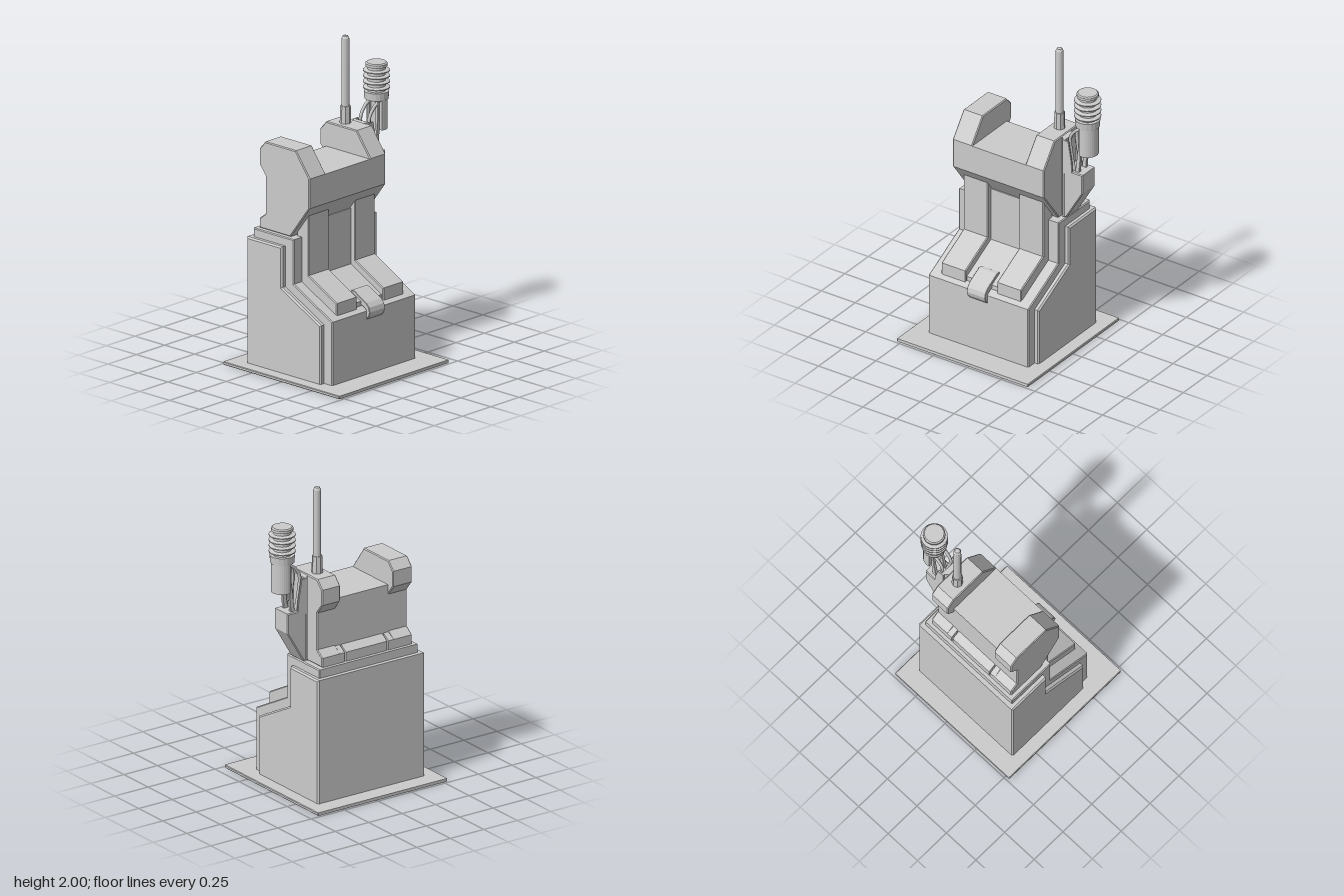
import * as THREE from 'three';

const material = new THREE.MeshStandardMaterial({ color: 0xcccccc, flatShading: true });
const smooth = new THREE.MeshStandardMaterial({ color: 0xcccccc });

export function createModel() {
  const model = new THREE.Group();

  const add = (name, geometry, x = 0, y = 0, z = 0, mat = material) => {
    const mesh = new THREE.Mesh(geometry, mat);
    mesh.name = name;
    mesh.position.set(x, y, z);
    model.add(mesh);
    return mesh;
  };

  // Bevelled extrusion of a flat profile, from 0 to length along z
  const slab = (points, length, bevel = 0.006) => {
    const shape = new THREE.Shape(points.map(p => new THREE.Vector2(...p)));
    const g = new THREE.ExtrudeGeometry(shape, {
      depth: length - 2 * bevel, bevelEnabled: bevel > 0, bevelThickness: bevel,
      bevelSize: bevel, bevelOffset: -bevel, bevelSegments: 1
    });
    return g.translate(0, 0, bevel);
  };
  // Side profile (x, y) spanning z0..z1
  const across = (name, points, z0, z1, bevel) => add(name, slab(points, z1 - z0, bevel), 0, 0, z0);
  // Profile (z, y) spanning x0..x1
  const sideways = (name, points, x0, x1, bevel) =>
    add(name, slab(points, x1 - x0, bevel).rotateY(-Math.PI / 2), x1, 0, 0);

  // Floor plate
  across('basePlate', [[-0.485, 0], [0.485, 0], [0.485, 0.02], [-0.485, 0.02]], -0.44, 0.53, 0.004);

  // Stepped pedestal: wide shell and a narrower core standing proud of it
  across('pedestalShell', [[-0.37, 0.01], [0.25, 0.01], [0.25, 0.395], [-0.075, 0.565],
    [-0.075, 0.825], [-0.37, 0.825]], -0.355, 0.445, 0.01);
  across('pedestalCore', [[-0.342, 0.01], [0.317, 0.01], [0.317, 0.425], [-0.005, 0.595],
    [-0.005, 0.88], [-0.342, 0.88]], -0.325, 0.413);

  // Front panel and the two raised pads beside it
  across('centrePanel', [[-0.05, 0.97], [0.015, 0.97], [0.015, 0.615], [0.272, 0.478],
    [0.272, 0.43], [-0.05, 0.55]], -0.09, 0.18, 0);
  for (const z of [-0.25, 0.16]) {
    across('frontPad', [[-0.05, 1.03], [0.05, 1.03], [0.05, 0.645], [0.285, 0.52],
      [0.285, 0.44], [-0.05, 0.56]], z, z + 0.18);
  }

  // Curled latch on the front edge
  across('latch', [[0.185, 0.50], [0.19, 0.53], [0.215, 0.53], [0.315, 0.475], [0.338, 0.45],
    [0.345, 0.42], [0.338, 0.395], [0.318, 0.372], [0.305, 0.385], [0.315, 0.43], [0.295, 0.445]],
  -0.025, 0.112, 0.003);

  // Head: two tall cheeks and a lower middle
  const cheek = [[-0.32, 0.88], [-0.06, 0.88], [0.1, 1.095], [0.1, 1.285], [-0.015, 1.44],
    [-0.27, 1.44], [-0.32, 1.385], [-0.32, 1.285], [-0.268, 1.22], [-0.268, 0.98], [-0.32, 0.94]];
  across('rightCheek', cheek, -0.29, -0.152);
  across('leftCheek', cheek, 0.24, 0.385);
  across('headMiddle', [[-0.268, 0.88], [-0.06, 0.88], [0.1, 1.095], [0.1, 1.283],
    [-0.268, 1.283]], -0.16, 0.25, 0);

  // Rear ledge in three lengths with narrow gaps
  for (const [z0, z1] of [[-0.16, -0.12], [-0.11, 0.197], [0.207, 0.25]]) {
    across('rearLedge', [[-0.32, 0.88], [-0.26, 0.88], [-0.26, 0.98], [-0.32, 0.94]], z0, z1, 0);
  }

  // Antenna
  const ax = -0.17, az = -0.218;
  add('antennaSocket', new THREE.CylinderGeometry(0.032, 0.035, 0.115, 8), ax, 1.4925, az);
  const rod = [[0, 1.43], [0.025, 1.43], [0.024, 1.98], [0.016, 1.996], [0, 2]];
  add('antennaRod', new THREE.LatheGeometry(rod.map(p => new THREE.Vector2(...p)), 12), ax, 0, az);

  // Rear holder: closed pocket below, open channel above
  const cx = -0.132, cz = -0.452;
  sideways('holderPocket', [[-0.32, 0.895], [-0.34, 0.895], [-0.46, 1.1], [-0.46, 1.23],
    [-0.37, 1.23], [-0.32, 1.23]], cx - 0.068, cx + 0.068);
  for (const s of [-1, 1]) {
    const x = cx + s * 0.062;
    sideways('holderSide', [[-0.318, 1.2], [-0.385, 1.2], [-0.378, 1.3], [-0.355, 1.435],
      [-0.318, 1.435]], x - 0.006, x + 0.006, 0.002);
  }
  sideways('holderBack', [[-0.31, 0.895], [-0.326, 0.895], [-0.326, 1.435], [-0.31, 1.435]],
    cx - 0.068, cx + 0.068, 0.002);
  // Tapered mount joining the holder to the head
  const mount = slab([[-0.035, -0.285], [0.035, -0.285], [0.06, -0.315], [-0.06, -0.315]]
    .map(([x, z]) => [x, -z]), 0.54, 0).rotateX(-Math.PI / 2);
  add('holderMount', mount, cx, 0.895, 0);

  // Curved arms and straight struts carrying the cylinder
  for (const s of [-1, 1]) {
    const x = cx + s * 0.036;
    const curve = new THREE.CatmullRomCurve3([[1.2, -0.385], [1.32, -0.36], [1.45, -0.35],
      [1.51, -0.39], [1.54, -0.435]].map(([y, z]) => new THREE.Vector3(x, y, z)));
    add('holderArm', new THREE.TubeGeometry(curve, 16, 0.011, 6), 0, 0, 0, smooth);
    sideways('holderStrut', [[-0.39, 1.22], [-0.42, 1.22], [-0.435, 1.4], [-0.435, 1.54],
      [-0.415, 1.54], [-0.412, 1.4]], x - 0.01, x + 0.01, 0.002);
  }

  // Lower barrel with a flat cut on the side facing the head
  const barrel = new THREE.Shape();
  barrel.absarc(0, 0, 0.068, -0.3, Math.PI + 0.3);
  barrel.closePath();
  add('barrel', new THREE.ExtrudeGeometry(barrel, { depth: 0.2, bevelEnabled: false, curveSegments: 10 })
    .rotateX(-Math.PI / 2), cx, 1.36, cz);
  add('barrelCollar', new THREE.CylinderGeometry(0.078, 0.074, 0.05, 18), cx, 1.575, cz);

  // Finned upper cylinder with a stepped cap
  const fins = [[0, 1.595], [0.056, 1.595]];
  for (let i = 0; i < 4; i++) {
    const y = 1.622 + i * 0.036;
    fins.push([0.056, y - 0.009], [0.083, y - 0.003], [0.083, y + 0.003], [0.056, y + 0.009]);
  }
  fins.push([0.056, 1.755], [0.068, 1.758], [0.068, 1.775], [0.06, 1.782], [0, 1.782]);
  add('finnedCylinder', new THREE.LatheGeometry(fins.map(p => new THREE.Vector2(...p)), 18), cx, 0, cz);

  return model;
}
